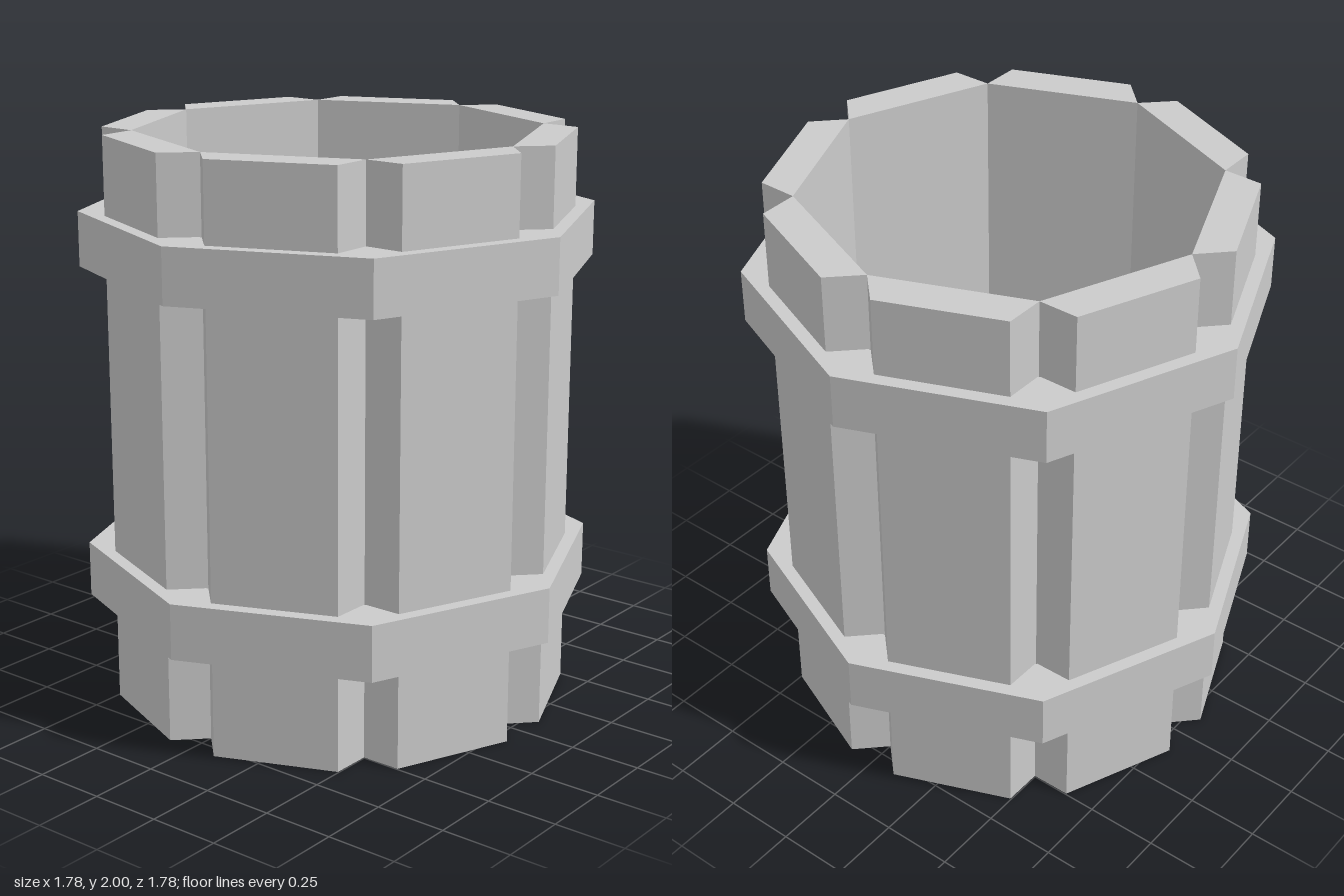
import * as THREE from 'three';

const SIDES = 8;
const INNER = 0.703; // corner radius of the hollow
const material = new THREE.MeshStandardMaterial({ color: 0xcccccc, flatShading: true });

// Corners of an octagon with its points on the axes
function octagon(radius) {
  return Array.from({ length: SIDES }, (_, i) => {
    const a = (i / SIDES) * Math.PI * 2;
    return new THREE.Vector2(Math.cos(a) * radius, Math.sin(a) * radius);
  });
}

// Upright prism from a plan outline
function prism(name, shape, bottom, height) {
  const geometry = new THREE.ExtrudeGeometry(shape, { depth: height, bevelEnabled: false });
  geometry.rotateX(-Math.PI / 2);
  geometry.translate(0, bottom, 0);
  const mesh = new THREE.Mesh(geometry, material);
  mesh.name = name;
  return mesh;
}

export function createModel() {
  const barrel = new THREE.Group();
  barrel.name = 'barrel';

  // Eight staves, meeting at their inner edges with V-shaped grooves between
  const half = Math.PI / SIDES;
  const innerX = INNER * Math.cos(half), innerY = INNER * Math.sin(half);
  const outerX = 0.777, outerY = 0.215;
  const plan = new THREE.Shape([
    new THREE.Vector2(innerX, -innerY),
    new THREE.Vector2(outerX, -outerY),
    new THREE.Vector2(outerX, outerY),
    new THREE.Vector2(innerX, innerY),
  ]);
  const staves = new THREE.Group();
  staves.name = 'staves';
  for (let i = 0; i < SIDES; i++) {
    const stave = prism('stave', plan, 0, 2);
    stave.rotation.y = (i + 0.5) * 2 * half;
    staves.add(stave);
  }
  barrel.add(staves);

  // Two hoops, reaching in to the bottom of the grooves
  const hoopPlan = new THREE.Shape(octagon(0.89));
  hoopPlan.holes.push(new THREE.Path(octagon(INNER + 0.006)));
  barrel.add(prism('lowerHoop', hoopPlan, 0.35, 0.195));
  barrel.add(prism('upperHoop', hoopPlan, 1.54, 0.19));

  // Recessed floor
  barrel.add(prism('floor', new THREE.Shape(octagon(INNER)), 0.22, 0.06));

  return barrel;
}
